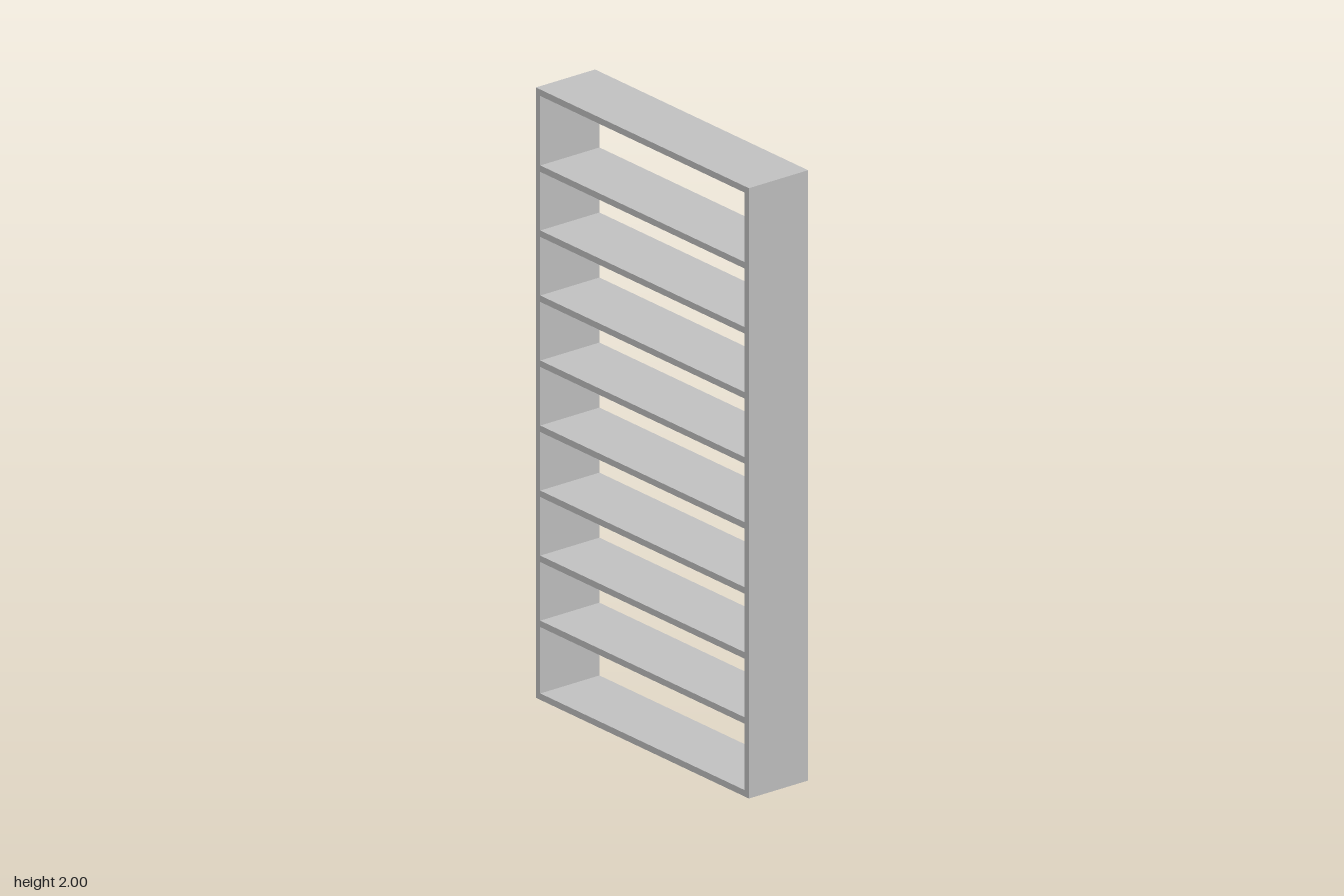
import * as THREE from 'three';

const W = 1.032, H = 2, D = 0.23, T = 0.021;

export function createModel() {
  const group = new THREE.Group();
  const grey = new THREE.MeshStandardMaterial({ color: 0xbfbfbf });
  grey.name = 'light grey';

  // Outer frame: sides, top and bottom in one open-backed rectangle
  const outline = new THREE.Shape([
    new THREE.Vector2(-W / 2, 0), new THREE.Vector2(W / 2, 0),
    new THREE.Vector2(W / 2, H), new THREE.Vector2(-W / 2, H),
  ]);
  const x = W / 2 - T;
  outline.holes.push(new THREE.Path([
    new THREE.Vector2(-x, T), new THREE.Vector2(-x, H - T),
    new THREE.Vector2(x, H - T), new THREE.Vector2(x, T),
  ]));
  const frameGeometry = new THREE.ExtrudeGeometry(outline, { depth: D, bevelEnabled: false });
  frameGeometry.translate(0, 0, -D / 2);
  const frame = new THREE.Mesh(frameGeometry, grey);
  frame.name = 'frame';
  group.add(frame);

  // Eight evenly spaced shelves between the sides
  const shelfGeometry = new THREE.BoxGeometry(W - 2 * T, T, D);
  for (let i = 0; i < 8; i++) {
    const shelf = new THREE.Mesh(shelfGeometry, grey);
    shelf.name = `shelf${i + 1}`;
    shelf.position.y = 0.249 + i * 0.2131;
    group.add(shelf);
  }
  return group;
}
